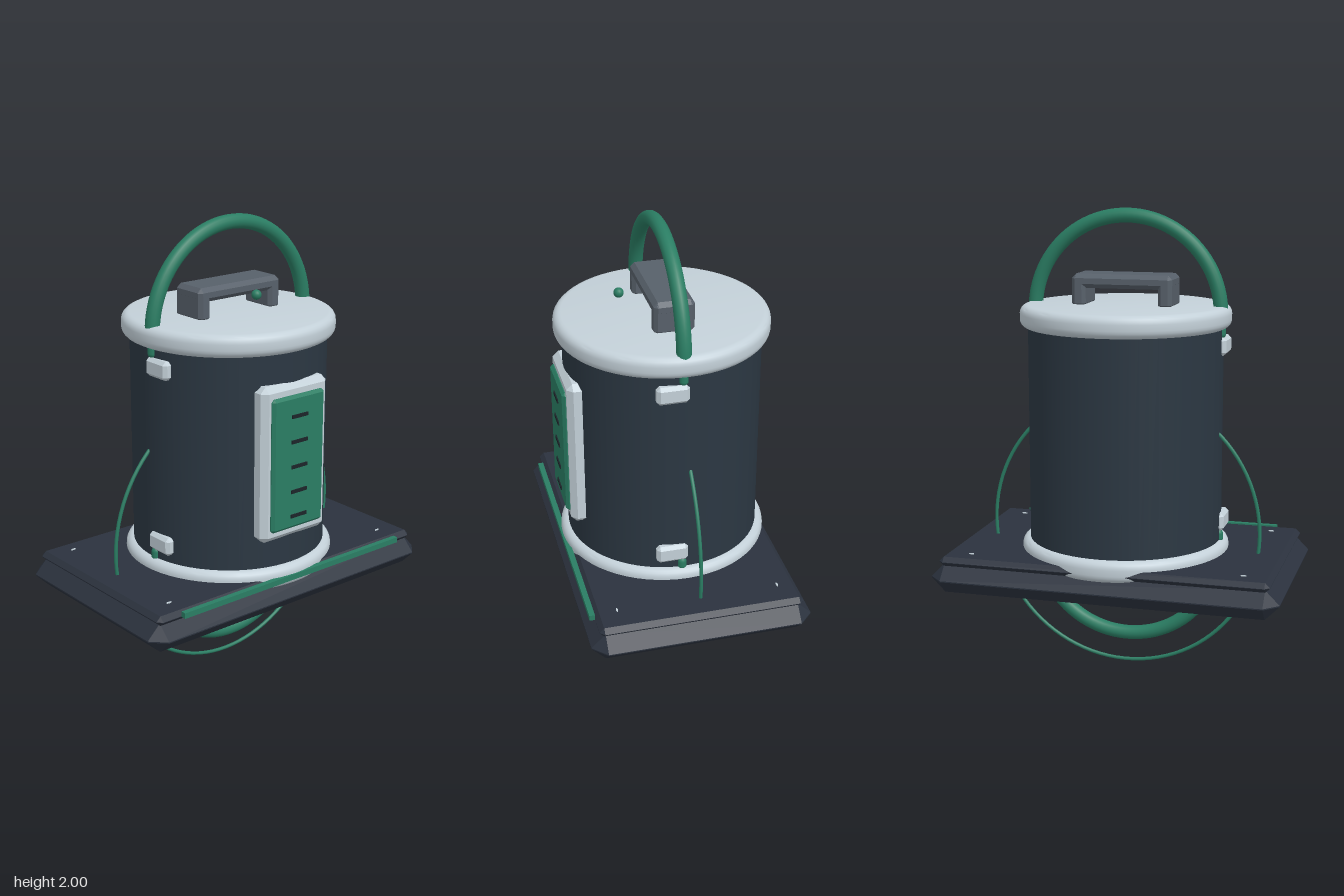
import * as THREE from 'three';
import { ConvexGeometry } from 'three/addons/geometries/ConvexGeometry.js';
import { toCreasedNormals } from 'three/addons/utils/BufferGeometryUtils.js';

const mat = (color) => new THREE.MeshStandardMaterial({ color });
const dark = mat(0x2b3742);
const slate = mat(0x2b323e);
const pale = mat(0xc3d0d8);
const green = mat(0x2a7d63);
const gray = mat(0x57606a);
const black = mat(0x1c2429);

// Box with every edge chamfered by c
function chamferBox(w, h, d, c) {
  const [x, y, z] = [w / 2, h / 2, d / 2];
  const points = [];
  for (const sx of [-1, 1]) for (const sy of [-1, 1]) for (const sz of [-1, 1]) {
    points.push(new THREE.Vector3(sx * x, sy * (y - c), sz * (z - c)));
    points.push(new THREE.Vector3(sx * (x - c), sy * y, sz * (z - c)));
    points.push(new THREE.Vector3(sx * (x - c), sy * (y - c), sz * z));
  }
  return new ConvexGeometry(points);
}

// Round disc with softened rims, standing on y = 0
function roundedDisc(r, h, e) {
  const p = [new THREE.Vector2(0, 0)];
  for (let i = 0; i <= 5; i++) {
    const a = -Math.PI / 2 + (i / 5) * (Math.PI / 2);
    p.push(new THREE.Vector2(r - e + e * Math.cos(a), e + e * Math.sin(a)));
  }
  for (let i = 0; i <= 5; i++) {
    const a = (i / 5) * (Math.PI / 2);
    p.push(new THREE.Vector2(r - e + e * Math.cos(a), h - e + e * Math.sin(a)));
  }
  p.push(new THREE.Vector2(0, h));
  return toCreasedNormals(new THREE.LatheGeometry(p, 64), 0.6);
}

export function createModel() {
  const model = new THREE.Group();
  model.name = 'canister';
  const add = (name, geometry, material, x = 0, y = 0, z = 0, parent = model) => {
    const mesh = new THREE.Mesh(geometry, material);
    mesh.name = name;
    mesh.position.set(x, y, z);
    parent.add(mesh);
    return mesh;
  };

  // Base slab, top plate, corner screws and front light strip
  add('baseSlab', chamferBox(1.5, 0.125, 0.94, 0.06), slate, 0, 0.45, 0);
  add('basePlate', chamferBox(1.42, 0.042, 0.87, 0.02), slate, 0, 0.524, 0);
  for (const x of [-0.59, 0.59]) for (const z of [-0.35, 0.34]) {
    add('screw', new THREE.CylinderGeometry(0.012, 0.012, 0.006, 12), pale, x, 0.546, z).scale.z = 0.35;
  }
  add('lightStrip', new THREE.BoxGeometry(1.2, 0.024, 0.024), green, 0, 0.534, 0.446);

  // Drum with lid and foot ring
  add('drum', new THREE.CylinderGeometry(0.417, 0.417, 1.02, 64), dark, 0, 1.045, 0);
  add('lid', roundedDisc(0.451, 0.095, 0.035), pale, 0, 1.503, 0);
  add('footRing', roundedDisc(0.451, 0.095, 0.035), pale, 0, 0.492, 0);

  // Lid grip
  const grip = new THREE.Group();
  grip.name = 'lidGrip';
  model.add(grip);
  add('gripBar', chamferBox(0.435, 0.06, 0.17, 0.018), gray, 0, 1.697, 0, grip);
  for (const s of [-1, 1]) {
    add('gripLeg', chamferBox(0.06, 0.135, 0.17, 0.015), gray, s * 0.187, 1.655, 0, grip);
  }
  add('bead', new THREE.SphereGeometry(0.021, 16, 12), green, 0, 1.692, 0.18);

  // Heavy hoops above and below
  const hoop = new THREE.TorusGeometry(0.409, 0.031, 16, 48, Math.PI);
  add('upperHoop', hoop, green, 0, 1.56, 0.014);
  add('lowerHoop', hoop, green, 0, 0.532, 0.014).rotation.z = Math.PI;

  // Side clips with hoop stubs
  for (const s of [-1, 1]) for (const [clipY, stubY] of [[1.428, 1.492], [0.665, 0.602]]) {
    add('clip', chamferBox(0.045, 0.078, 0.135, 0.014), pale, s * 0.413, clipY, 0.06);
    add('hoopStub', new THREE.CapsuleGeometry(0.02, 0.02, 6, 12), green, s * 0.411, stubY, 0.016);
  }

  // Thin cable ring, slightly taller than wide
  add('cableRing', new THREE.TorusGeometry(0.597, 0.008, 8, 96), green, 0, 0.618, -0.016).scale.y = 1.021;

  // Front display panel
  const panel = new THREE.Group();
  panel.name = 'frontPanel';
  model.add(panel);
  add('panelFrame', chamferBox(0.352, 0.67, 0.09, 0.025), pale, 0, 1.045, 0.393, panel);
  add('screen', chamferBox(0.28, 0.575, 0.04, 0.012), green, 0, 1.043, 0.434, panel);
  for (let i = 0; i < 5; i++) {
    add('levelMark', new THREE.BoxGeometry(0.085, 0.015, 0.012), black, 0, 0.812 + i * 0.108, 0.453, panel);
  }
  return model;
}
